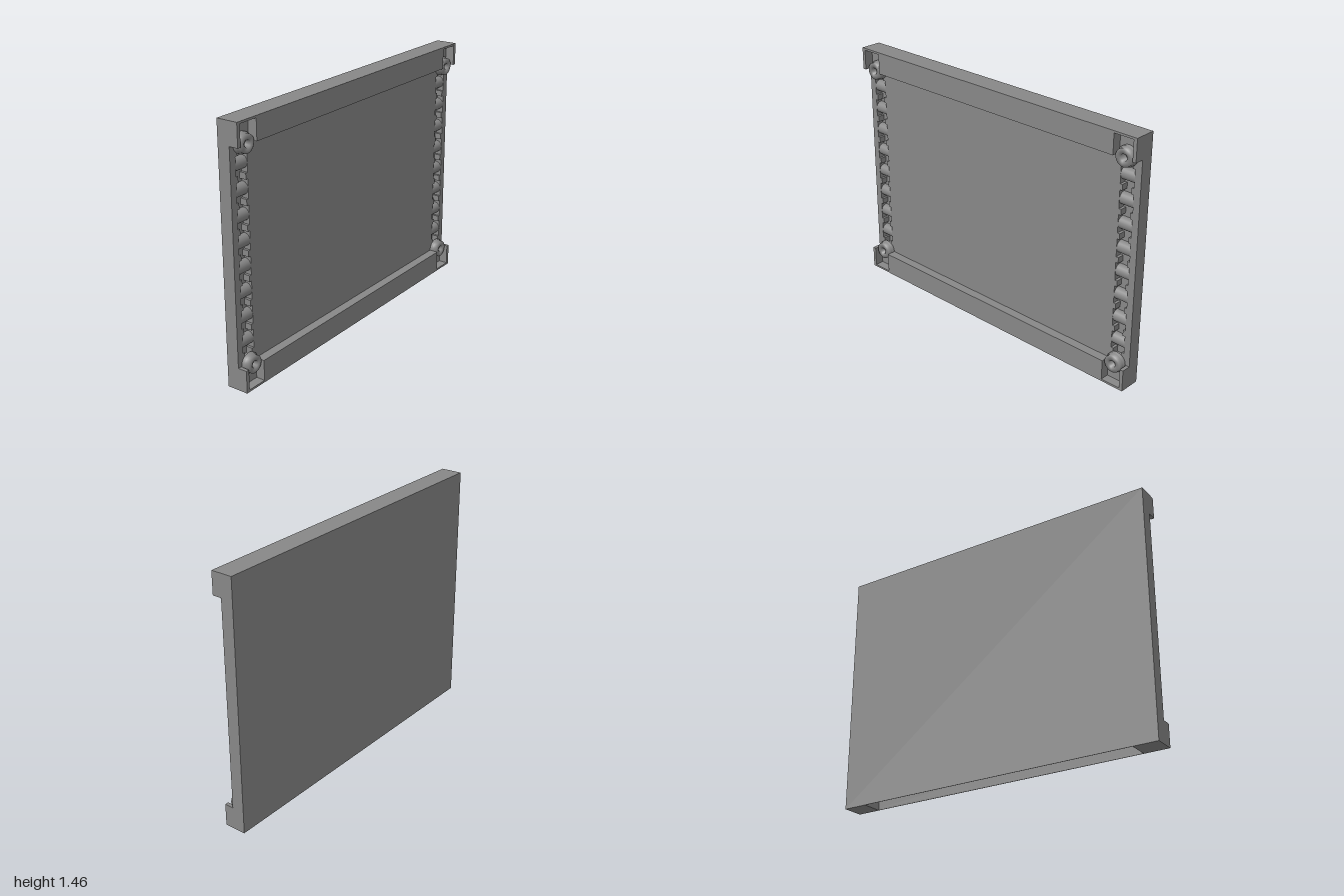
import * as THREE from 'three';

const MAT = new THREE.MeshStandardMaterial({ color: 0x878787, side: THREE.DoubleSide });
const H = 1.46;                        // panel height (y); its length along z is 2
const BACK = -0.0635, FLOOR = -0.03, FACE = 0.01, RIM = 0.0635; // layers along x
const SKIN = 0.003;                    // wall left around the open underside
const COL = 0.917;                     // z of the bosses and rib channels
const RIBS = 8, FIRST = 0.25, STEP = 0.138;

const points = (list) => list.map(([z, y]) => new THREE.Vector2(z, y));

// Outline symmetric in z, from its +z half
const mirrored = (half) => points([...half, ...half.map(([z, y]) => [-z, y]).reverse()]);

// Extrude an outline in the z-y plane along x, from x0 to x1
function slab(outline, x0, x1, name, holes = []) {
  const shape = new THREE.Shape(outline);
  shape.holes = holes;
  const geo = new THREE.ExtrudeGeometry(shape, { depth: x1 - x0, bevelEnabled: false });
  geo.rotateY(Math.PI / 2);
  geo.translate(x0, 0, 0);
  const mesh = new THREE.Mesh(geo, MAT);
  mesh.name = name;
  return mesh;
}

// Channel outline: wide cell around each rib, narrow neck in between
function channelOutline(centre) {
  const side = [[0.028, 0.16]];
  for (let i = 0; i < RIBS; i++) {
    const y = FIRST + i * STEP;
    side.push([0.028, y - 0.052], [0.043, y - 0.052], [0.043, y + 0.052], [0.028, y + 0.052]);
  }
  side.push([0.028, 1.3]);
  const right = side.map(([z, y]) => [centre + z, y]);
  const left = side.map(([z, y]) => [centre - z, y]).reverse();
  return points([...right, ...left]);
}

export function createModel() {
  const model = new THREE.Group();
  model.name = 'panel';

  // Half outlines: full sheet, end pocket of a rail, hollow in the underside
  const hollow = [[0.855, 0.127], [0.855, 0]];
  const sheet = [[1, 0], [1, H]];
  const rail = [[1, 0], [1, 0.13], [0.979, 0.13], [0.979, 0.012], [0.86, 0.012], [0.86, 0.13]];
  const topRail = rail.map(([z, y]) => [z, H - y]);

  // Back skin, core and inner sheet with the two rib channels cut through it
  const archedSheet = mirrored([...hollow, ...sheet]);
  const channels = [-1, 1].map((s) => new THREE.Path(channelOutline(s * COL)));
  model.add(slab(mirrored(sheet), BACK, BACK + SKIN, 'backSkin'));
  model.add(slab(archedSheet, BACK + SKIN, FLOOR, 'core'));
  model.add(slab(archedSheet, FLOOR, FACE, 'innerSheet', channels));

  // Raised rails: the bottom one is open from below, behind a thin front
  model.add(slab(mirrored([...hollow, ...rail]), FACE, RIM - SKIN, 'bottomRail'));
  model.add(slab(mirrored(rail), RIM - SKIN, RIM, 'bottomRailFront'));
  model.add(slab(mirrored(topRail), FACE, RIM, 'topRail'));

  // Stepped boss with a blind hole: [radius, height] profile turned about x
  const bossGeo = new THREE.LatheGeometry(points([
    [0.057, 0], [0.057, 0.015], [0.05, 0.015], [0.05, 0.042], [0.02, 0.042], [0.02, 0.005], [0, 0.005],
  ]), 32);
  bossGeo.rotateZ(-Math.PI / 2);

  // Round rib lying across the channel, flush with the inner sheet
  const ribRadius = 0.035;
  const ribGeo = new THREE.CylinderGeometry(ribRadius, ribRadius, 0.086, 24);
  ribGeo.rotateX(Math.PI / 2);

  for (const s of [-1, 1]) {
    for (const y of [0.13, H - 0.13]) {
      const boss = new THREE.Mesh(bossGeo, MAT);
      boss.position.set(FACE, y, s * COL);
      boss.name = 'cornerBoss';
      model.add(boss);
    }
    for (let i = 0; i < RIBS; i++) {
      const rib = new THREE.Mesh(ribGeo, MAT);
      rib.position.set(FACE - ribRadius, FIRST + i * STEP, s * COL);
      rib.name = 'channelRib';
      model.add(rib);
    }
  }
  return model;
}
